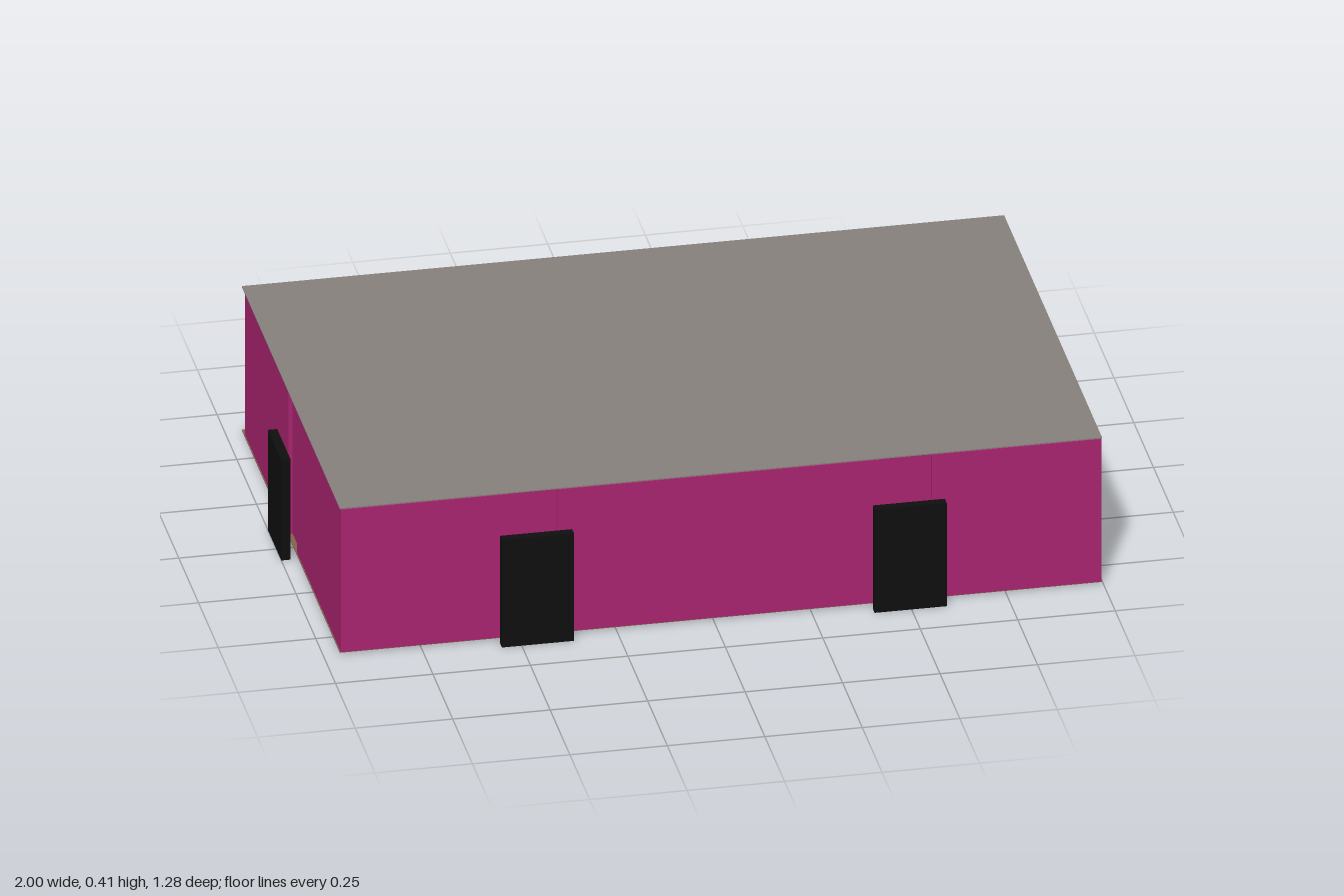
import * as THREE from 'three';

const mat = (name, color) => {
  const m = new THREE.MeshStandardMaterial({ color });
  m.name = name;
  return m;
};

export function createModel() {
  const model = new THREE.Group();
  model.name = 'building';
  const magenta = mat('magenta wall', 0xa8246f);
  const grey = mat('roof grey', 0x85807b);
  const brown = mat('floor brown', 0x83624a);
  const black = mat('panel black', 0x0f0f0f);
  const white = mat('door light grey', 0xcccccc);
  const dark = mat('fitting dark grey', 0x3a3a3a);

  // Box given by its lower and upper limits on each axis
  const box = (name, material, [x0, x1], [y0, y1], [z0, z1], parent = model) => {
    const mesh = new THREE.Mesh(new THREE.BoxGeometry(x1 - x0, y1 - y0, z1 - z0), material);
    mesh.position.set((x0 + x1) / 2, (y0 + y1) / 2, (z0 + z1) / 2);
    mesh.name = name;
    parent.add(mesh);
    return mesh;
  };

  const X = [-0.956, 0.995], Z = [-0.616, 0.601], H = [0.008, 0.411];
  const T = 0.024, recess = 0.01;

  // Roof and floor sheets reach a little past the back wall
  box('roof', grey, [-0.958, 0.997], [0.411, 0.414], [-0.643, 0.598]);
  box('floor', brown, [-0.958, 0.997], [0.005, 0.008], [-0.643, 0.598]);

  // Plain walls
  box('backWall', magenta, X, H, [Z[0], Z[0] + T]);
  box('leftWall', magenta, [X[1] - T, X[1]], H, [Z[0] + T, Z[1] - T]);

  // Front wall with two recessed doorways
  const frontBays = [[-0.53, -0.40], [0.43, 0.56]];
  let x = X[0];
  for (const [a, b] of frontBays) {
    box('frontWall', magenta, [x, a], H, [Z[1] - T, Z[1]]);
    box('frontDoorway', magenta, [a, b], H, [Z[1] - T, Z[1] - recess]);
    x = b;
  }
  box('frontWall', magenta, [x, X[1]], H, [Z[1] - T, Z[1]]);

  // Right wall with one recessed doorway
  const sideBay = [-0.06, 0.045];
  box('rightWall', magenta, [X[0], X[0] + T], H, [Z[0] + T, sideBay[0]]);
  box('rightWall', magenta, [X[0], X[0] + T], H, [sideBay[1], Z[1] - T]);
  box('rightDoorway', magenta, [X[0] + recess, X[0] + T], H, sideBay);

  // Black panels standing in front of the doorways
  box('frontPanel', black, [-0.551, -0.366], [0, 0.304], [0.617, 0.641]);
  box('frontPanel', black, [0.405, 0.59], [0, 0.292], [0.617, 0.641]);
  box('sidePanel', black, [-1, -0.976], [0, 0.283], [-0.107, 0.064]);

  // Pale door in the left wall, with rivets and a handle
  const door = new THREE.Group();
  door.name = 'door';
  model.add(door);
  box('doorLeaf', white, [0.99, 0.998], [0.006, 0.265], [-0.078, 0.04], door);
  const face = [0.998, 0.9995], r = 0.002;
  const rivet = (y, z) => box('rivet', dark, face, [y - r, y + r], [z - r, z + r], door);
  for (let i = 0; i < 8; i++) {
    const y = 0.045 + i * 0.0259;
    rivet(y, 0.016);
    rivet(y, -0.005);
  }
  for (const z of [-0.03, -0.054]) rivet(0.175, z);
  box('doorHandle', dark, face, [0.126, 0.13], [-0.068, -0.053], door);

  return model;
}
